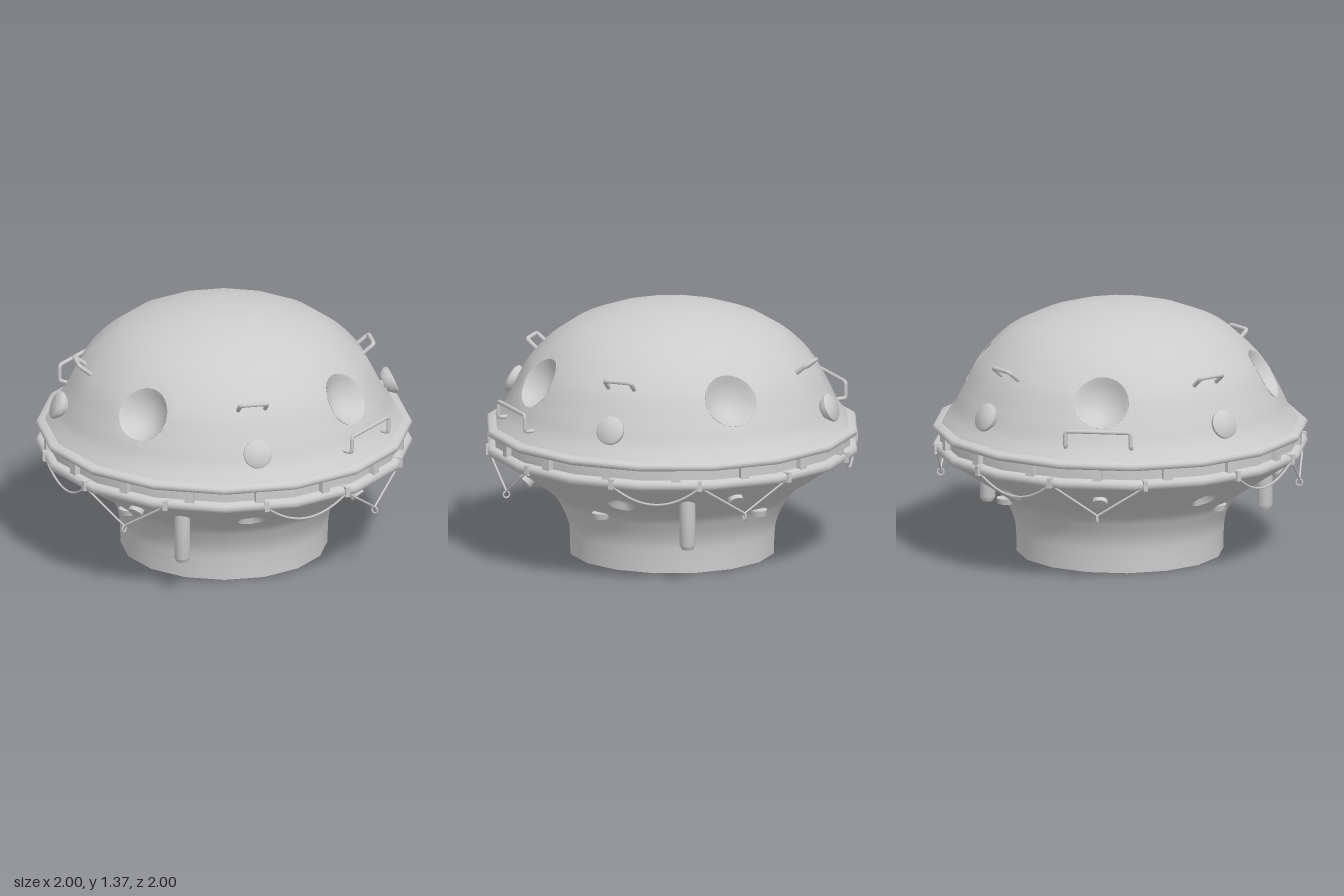
import * as THREE from 'three';
import { mergeVertices, toCreasedNormals } from 'three/addons/utils/BufferGeometryUtils.js';

const SIDES = 16, STEP = Math.PI * 2 / SIDES, DEG = Math.PI / 180;
const grey = new THREE.MeshStandardMaterial({ color: 0xcccccc });
const greyOpen = new THREE.MeshStandardMaterial({ color: 0xcccccc, side: THREE.DoubleSide });
const V = (x, y, z) => new THREE.Vector3(x, y, z);
const P = ([x, y]) => new THREE.Vector2(x, y);

// radius factor turning a circle into a polygon with flats on the axes
function facet(phi) {
  return 1 / Math.cos(phi - Math.round(phi / STEP) * STEP);
}

function mesh(name, geometry, parent, material = grey) {
  const m = new THREE.Mesh(geometry, material);
  m.name = name;
  parent.add(m);
  return m;
}

// a holder turned around the vertical axis; parts inside it face +z
function turned(name, parent, degrees) {
  const g = new THREE.Group();
  g.name = name;
  g.rotation.y = degrees * DEG;
  parent.add(g);
  return g;
}

// fine lathe with round dished windows pressed into it, then made polygonal
function dishedShell(name, profile, rows, win, parent) {
  const curve = new THREE.SplineCurve(profile.map(P));
  const pts = curve.getSpacedPoints(rows);
  pts.forEach(p => { p.x = Math.max(0, p.x); });
  let geo = new THREE.LatheGeometry(pts, 256);
  geo.deleteAttribute('uv');
  geo.deleteAttribute('normal');
  geo = mergeVertices(geo, 1e-5);
  const pos = geo.attributes.position, inside = [], p = V(0, 0, 0), up = V(0, 1, 0);
  for (let i = 0; i < pos.count; i++) {
    p.fromBufferAttribute(pos, i);
    for (const deg of win.angles) {
      const c = V(0, win.y, win.r).applyAxisAngle(up, deg * DEG);
      const n = V(0, Math.sin(win.tilt), Math.cos(win.tilt)).applyAxisAngle(up, deg * DEG);
      const v = p.clone().sub(c), along = v.dot(n);
      if (Math.abs(along) > 0.2) continue;
      const radial = v.addScaledVector(n, -along);
      if (Math.abs(radial.length() - win.size) < 0.017) radial.setLength(win.size);
      const k = radial.length() / win.size;
      if (k > 1.3) continue;
      p.copy(c).add(radial).addScaledVector(n, along);
      if (k <= 1.0001) {
        inside[i] = true;
        p.addScaledVector(n, -win.depth * (1 - k * k));
      }
    }
    pos.setXYZ(i, p.x, p.y, p.z);
  }
  // separate shell and window faces so that the window edge stays crisp
  const shell = [], bowls = [], idx = geo.index.array;
  for (let i = 0; i < idx.length; i += 3) {
    const t = [idx[i], idx[i + 1], idx[i + 2]];
    (t.every(j => inside[j]) ? bowls : shell).push(...t);
  }
  for (const [label, list] of [[name, shell], [name + 'Windows', bowls]]) {
    const part = geo.clone();
    part.setIndex(list);
    part.computeVertexNormals();
    const a = part.attributes.position;
    for (let i = 0; i < a.count; i++) {
      const f = facet(Math.atan2(a.getX(i), a.getZ(i)));
      a.setXYZ(i, a.getX(i) * f, a.getY(i), a.getZ(i) * f);
    }
    mesh(label, part, parent, greyOpen);
  }
}

// bent rod through corner points with rounded bends
function rod(points, bend, radius) {
  const path = new THREE.CurvePath();
  let from = points[0];
  for (let i = 1; i < points.length - 1; i++) {
    const c = points[i];
    const a = c.clone().add(points[i - 1].clone().sub(c).setLength(bend));
    const b = c.clone().add(points[i + 1].clone().sub(c).setLength(bend));
    path.add(new THREE.LineCurve3(from, a));
    path.add(new THREE.QuadraticBezierCurve3(a, c, b));
    from = b;
  }
  path.add(new THREE.LineCurve3(from, points[points.length - 1]));
  return new THREE.TubeGeometry(path, 48, radius, 8);
}

function onRim(degrees, r, y) {
  const a = degrees * DEG, f = r * facet(a);
  return V(Math.sin(a) * f, y, Math.cos(a) * f);
}

export function createModel() {
  const model = new THREE.Group();
  model.name = 'divingHabitat';

  // upper dome and flared lower hull
  dishedShell('dome', [[0.945, 0.71], [0.89, 0.785], [0.84, 0.89], [0.75, 1.05], [0.6, 1.2],
    [0.42, 1.292], [0.2, 1.352], [0, 1.368]], 70,
    { angles: [45, 135, 225, 315], r: 0.785, y: 1.0, tilt: 0.62, size: 0.145, depth: 0.09 }, model);
  dishedShell('lowerHull', [[0.545, 0], [0.547, 0.09], [0.555, 0.17], [0.585, 0.25], [0.635, 0.33],
    [0.75, 0.415], [0.84, 0.475], [0.955, 0.552]], 45,
    { angles: [0, 90, 180, 270], r: 0.75, y: 0.415, tilt: -0.85, size: 0.077, depth: 0.045 }, model);

  // double rim with a recessed band
  const rim = [[0.95, 0.549], [0.982, 0.563], [0.99, 0.58], [0.988, 0.597], [0.975, 0.61], [0.95, 0.613],
    [0.95, 0.667], [0.98, 0.67], [0.989, 0.68], [0.989, 0.695], [0.98, 0.706], [0.935, 0.714]]
    .map(([r, y]) => P([r * facet(STEP / 2), y]));
  mesh('rim', toCreasedNormals(new THREE.LatheGeometry(rim, SIDES, STEP / 2), 0.95), model, greyOpen);
  for (let i = 0; i < SIDES; i++) {
    const g = turned('rimPost', model, i * 22.5);
    mesh('post', new THREE.BoxGeometry(0.05, 0.066, 0.04), g).position.set(0, 0.64, 0.96);
  }

  // parts repeated on the four axes and the four diagonals
  const lampProfile = [[0, -0.1], [0.022, -0.1], [0.022, -0.042], [0.05, -0.04], [0.077, -0.008],
    [0.077, 0.006], [0.066, 0.016], [0, 0.02]].map(P);
  for (let q = 0; q < 4; q++) {
    const axis = turned('axisFittings', model, q * 90);

    const lamp = mesh('lamp', toCreasedNormals(new THREE.LatheGeometry(lampProfile, 20), 0.8), axis);
    lamp.position.set(0, 0.862, 0.912);
    lamp.rotation.x = 1.15;

    const grip = mesh('grabHandle', rod([V(-0.074, -0.03, 0), V(-0.074, 0.08, 0),
      V(0.074, 0.08, 0), V(0.074, -0.03, 0)], 0.022, 0.012), axis);
    grip.position.set(0, 1.055, 0.745);
    grip.rotation.x = 0.88;

    const diagonal = turned('diagonalFittings', model, q * 90 + 45);
    const small = mesh('smallLamp', new THREE.CylinderGeometry(0.041, 0.041, 0.05, 14), diagonal);
    small.position.set(0, 0.47, 0.845);
    small.rotation.x = Math.PI / 2 + 0.75;

    // hanging rope, then a straight rope pulled down to a ring
    const ropes = turned('ropes', model, q * 90);
    const start = onRim(2, 0.985, 0.578), end = onRim(30, 0.985, 0.578), swag = [];
    for (let i = 0; i <= 12; i++) {
      const t = i / 12;
      swag.push(start.clone().lerp(end, t).add(V(0, -0.4 * t * (1 - t), 0)));
    }
    mesh('slackRope', new THREE.TubeGeometry(new THREE.CatmullRomCurve3(swag), 40, 0.006, 6), ropes);
    const low = onRim(45, 0.97, 0.415);
    for (const deg of [30, 60]) {
      mesh('tightRope', new THREE.TubeGeometry(
        new THREE.LineCurve3(onRim(deg, 0.985, 0.578), low), 2, 0.006, 6), ropes);
    }
    const ring = mesh('ropeRing', new THREE.TorusGeometry(0.018, 0.005, 6, 16), ropes);
    ring.position.copy(low).y -= 0.018;
    ring.rotation.y = -Math.PI / 4;
    for (const deg of [2, 30, 60]) {
      const strap = mesh('ropeStrap', new THREE.BoxGeometry(0.024, 0.056, 0.05), ropes);
      strap.position.copy(onRim(deg, 0.975, 0.587));
      strap.rotation.y = Math.round(deg / 22.5) * STEP;
    }
  }

  // two long rails on opposite diagonals
  for (const deg of [45, 225]) {
    const side = [V(-0.177, 0.78, 0.87), V(-0.177, 0.78, 0.94), V(-0.177, 0.87, 0.94)];
    const other = side.map(p => V(-p.x, p.y, p.z)).reverse();
    mesh('rail', rod([...side, ...other], 0.016, 0.011), turned('railMount', model, deg));
  }

  // two hanging cylinders under the hull
  const bottle = [[0, 0.19], [0.03, 0.19], [0.042, 0.212], [0.042, 0.49], [0, 0.5]].map(P);
  for (const [x, z] of [[-0.37, 0.695], [0.695, -0.36]]) {
    mesh('hangingCylinder', toCreasedNormals(new THREE.LatheGeometry(bottle, 16), 0.5), model)
      .position.set(x, 0, z);
  }

  // small ledges on the neck
  for (const [x, z] of [[0.61, 0.17], [-0.57, 0.22], [0.24, -0.59]]) {
    mesh('ledge', new THREE.CylinderGeometry(0.05, 0.042, 0.032, 14), model).position.set(x, 0.31, z);
  }
  return model;
}
